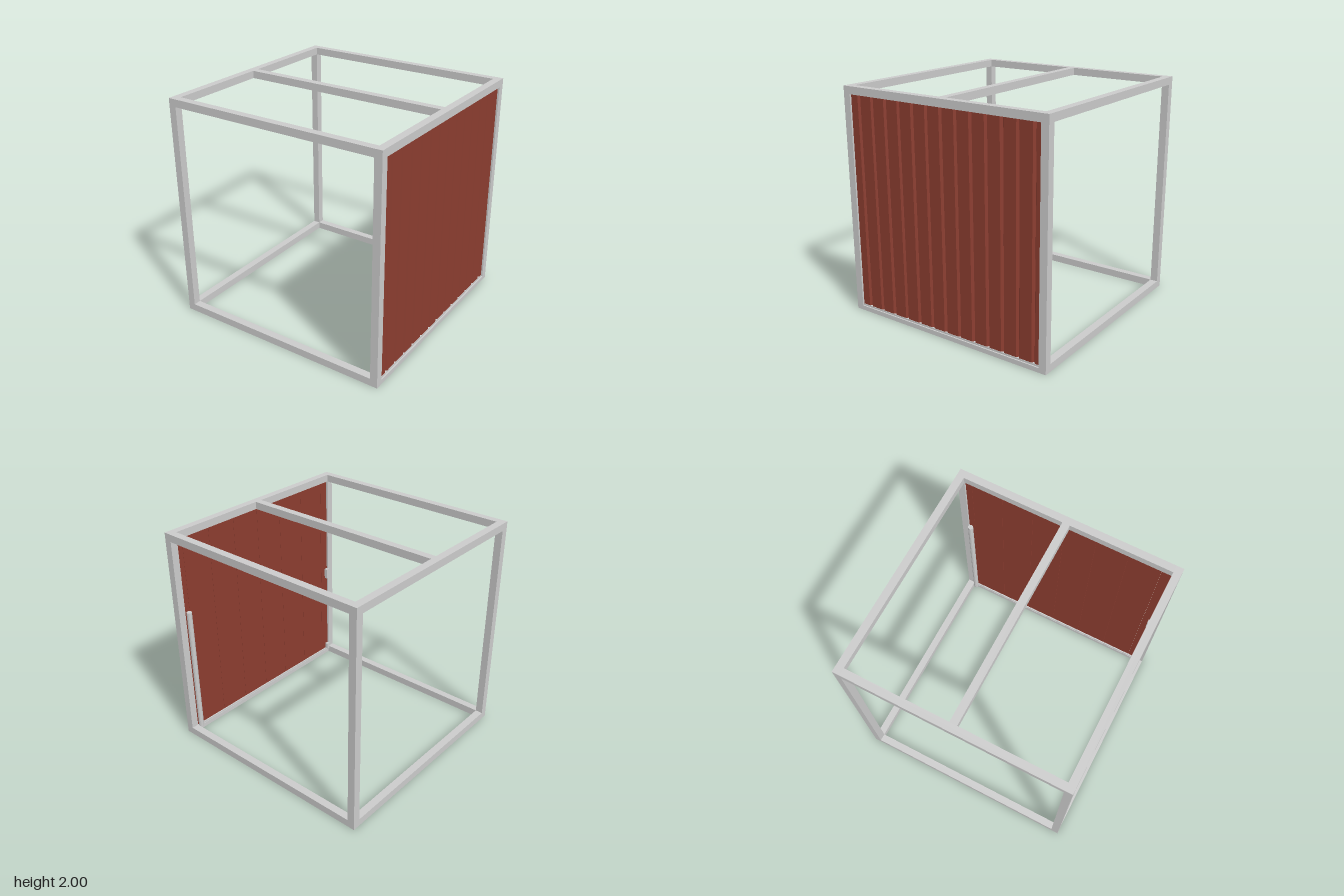
import * as THREE from 'three';

const T = 0.066; // tube thickness of the frame
const steel = new THREE.MeshStandardMaterial({ color: 0xcccccc, flatShading: true });
const red = new THREE.MeshStandardMaterial({ color: 0x8c3d30, flatShading: true });

export function createModel() {
  const model = new THREE.Group();

  // Box given by its minimum and maximum corners
  const box = (name, a, b, parent = model) => {
    const mesh = new THREE.Mesh(
      new THREE.BoxGeometry(b[0] - a[0], b[1] - a[1], b[2] - a[2]), steel);
    mesh.position.set((a[0] + b[0]) / 2, (a[1] + b[1]) / 2, (a[2] + b[2]) / 2);
    mesh.name = name;
    parent.add(mesh);
    return mesh;
  };

  // Open cube frame
  const frame = new THREE.Group();
  frame.name = 'frame';
  model.add(frame);
  const c = 1 - T / 2, h = T / 2, inner = 1 - T;
  for (const sx of [-1, 1]) {
    for (const sz of [-1, 1]) {
      box('cornerPost', [sx * c - h, T, sz * c - h], [sx * c + h, 2 - T, sz * c + h], frame);
    }
    box('topSideRail', [sx * c - h, 2 - T, -inner], [sx * c + h, 2, inner], frame);
    // The rail below the wall is lower, to carry the sill
    box('bottomSideRail', [sx * c - h, 0, -inner], [sx * c + h, sx > 0 ? 0.04 : T, inner], frame);
  }
  for (const sz of [-1, 1]) {
    box('topCrossRail', [-1, 2 - T, sz * c - h], [1, 2, sz * c + h], frame);
    box('bottomCrossRail', [-1, 0, sz * c - h], [1, T, sz * c + h], frame);
  }
  box('middleRoofRail', [-inner, 2 - T, -h], [inner, 2, h], frame);

  // Wall sill
  box('wallSill', [0.938, 0.04, -inner], [0.988, 0.055, inner]);

  // Wall of vertical boards, flat inside and grooved outside
  const wall = new THREE.Group();
  wall.name = 'wall';
  model.add(wall);
  const back = 0.95, floor = 0.965, face = 0.985, g = 0.015, pitch = 0.1433;
  const bottom = 0.055, top = 2 - T;
  const upright = new THREE.Matrix4().makeBasis(
    new THREE.Vector3(0, 0, 1), new THREE.Vector3(1, 0, 0), new THREE.Vector3(0, 1, 0));
  const seams = [inner];
  for (let z = 0.845; z > -inner; z -= 2 * pitch) seams.push(z);
  seams.push(-inner);
  for (let i = 0; i + 1 < seams.length; i++) {
    const z1 = seams[i] - 0.001, z0 = seams[i + 1] + 0.001;
    const startsAtGroove = i + 2 < seams.length, endsAtGroove = i > 0;
    const profile = [[z0, back], [z1, back]];
    if (endsAtGroove) profile.push([z1, floor], [z1 - g, face]);
    else profile.push([z1, face]);
    // Middle groove of a full board
    if (z1 - z0 > 1.5 * pitch) {
      const m = (z0 + z1) / 2;
      profile.push([m + g, face], [m, floor], [m - g, face]);
    }
    if (startsAtGroove) profile.push([z0 + g, face], [z0, floor]);
    else profile.push([z0, face]);
    const shape = new THREE.Shape(profile.map(([z, x]) => new THREE.Vector2(z, x)));
    const geometry = new THREE.ExtrudeGeometry(shape, { depth: top - bottom, bevelEnabled: false });
    geometry.applyMatrix4(upright).translate(0, bottom, 0);
    const board = new THREE.Mesh(geometry, red);
    board.name = 'wallBoard';
    wall.add(board);
  }

  // Upright rod in the back corner
  const rod = new THREE.Mesh(new THREE.CylinderGeometry(0.024, 0.024, 1.205, 12), steel);
  rod.name = 'cornerRod';
  rod.position.set(0.918, 0.6525, -0.906);
  model.add(rod);

  // Small clips in the front corner
  for (const [y0, y1] of [[0.05, 0.11], [0.9, 1.0]]) {
    box('cornerClip', [0.919, y0, 0.9], [0.95, y1, inner]);
  }

  return model;
}
